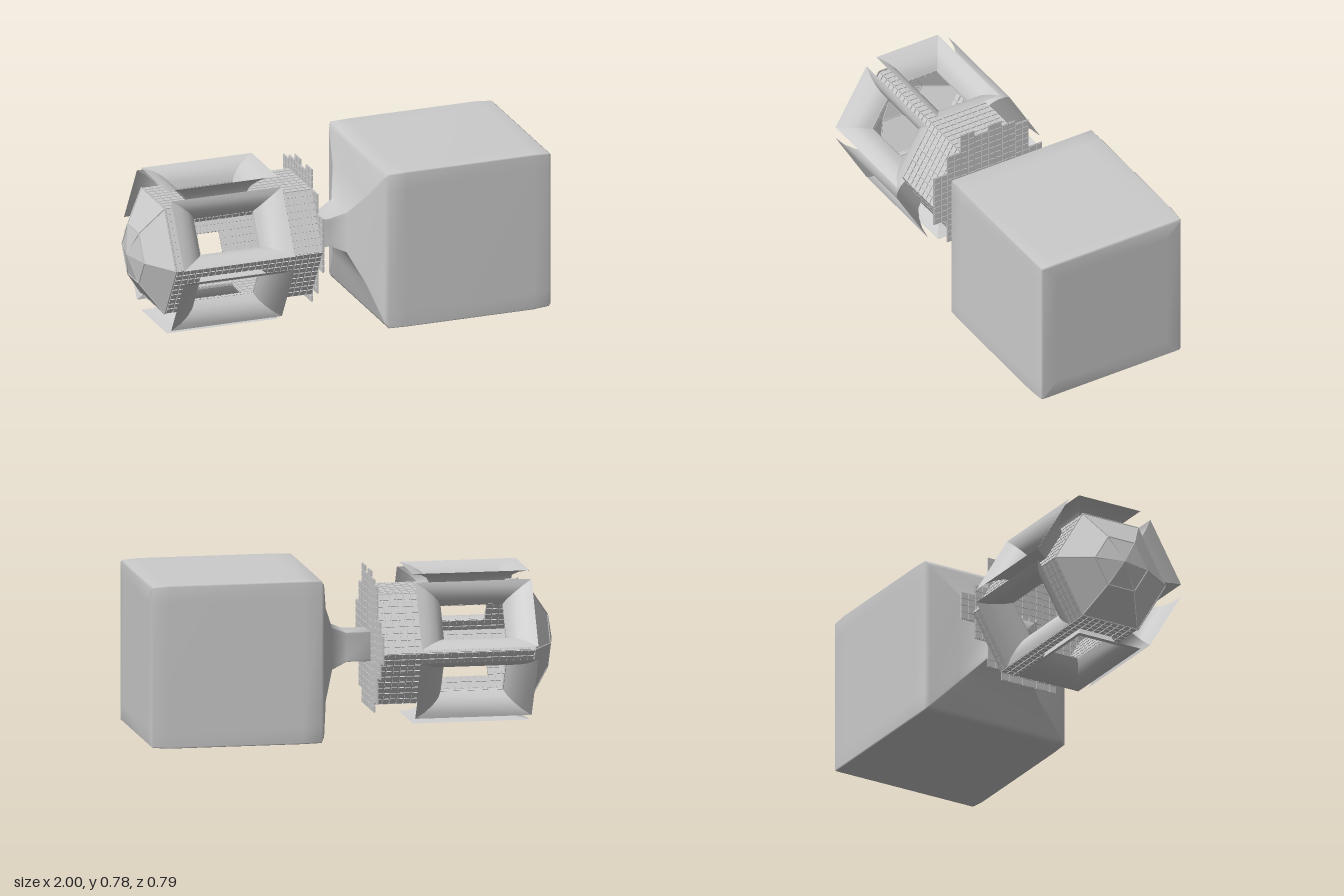
import * as THREE from 'three';
import { mergeGeometries } from 'three/addons/utils/BufferGeometryUtils.js';

const AXIS_Y = 0.4, APOTHEM = 0.265, RADIUS = APOTHEM / Math.cos(Math.PI / 6);
const X0 = -0.86, X1 = -0.12, CELL = 0.034;
const WINDOW = { x0: -0.73, x1: -0.43, half: 0.087 };

const material = (options = {}) => new THREE.MeshStandardMaterial({ color: 0xcccccc, ...options });
const solid = material();
const thin = material({ side: THREE.DoubleSide });
const faceted = material({ side: THREE.DoubleSide, flatShading: true });

function addMesh(parent, name, geometry, mat) {
  const mesh = new THREE.Mesh(geometry, mat);
  mesh.name = name;
  parent.add(mesh);
  return mesh;
}

// Joins scaled copies of a ring of [y, z] points, one per [x, size, centreY]
function loft(ring, sections) {
  const pos = [], index = [], n = ring.length;
  for (const [x, s, cy] of sections)
    for (const [y, z] of ring) pos.push(x, cy + y * s, z * s);
  for (let i = 0; i < sections.length - 1; i++)
    for (let j = 0; j < n; j++) {
      const a = i * n + j, b = i * n + (j + 1) % n;
      index.push(a, b, a + n, b, b + n, a + n);
    }
  const g = new THREE.BufferGeometry();
  g.setAttribute('position', new THREE.Float32BufferAttribute(pos, 3));
  g.setIndex(index);
  g.computeVertexNormals();
  return g;
}

// Square ring with support points by the corners, for soft edges
function squareRing() {
  const ring = [];
  for (let side = 0; side < 4; side++)
    for (const u of [-0.985, -0.78, 0.78, 0.985]) {
      let p = [1, u];
      for (let k = 0; k < side; k++) p = [-p[1], p[0]];
      ring.push(p);
    }
  return ring;
}

const hexRing = Array.from({ length: 6 }, (_, k) => {
  const a = Math.PI / 6 + k * Math.PI / 3;
  return [Math.cos(a), Math.sin(a)];
});

const box = (w, h, d, x, y, z) => new THREE.BoxGeometry(w, h, d).translate(x, y, z);

const rib = (a, b) => new THREE.TubeGeometry(new THREE.LineCurve3(a, b), 1, 0.004, 4);

// Wall of one hexagon side with a window, normal along +y
function wallPanel() {
  const w = RADIUS / 2, s = new THREE.Shape();
  s.moveTo(X0, -w).lineTo(X1, -w).lineTo(X1, w).lineTo(X0, w).closePath();
  const { x0, x1, half } = WINDOW, hole = new THREE.Path();
  hole.moveTo(x0, -half).lineTo(x0, half).lineTo(x1, half).lineTo(x1, -half).closePath();
  s.holes.push(hole);
  return new THREE.ExtrudeGeometry(s, { depth: 0.006, bevelEnabled: false })
    .rotateX(-Math.PI / 2).translate(0, APOTHEM - 0.011, 0);
}

// Small square tiles that stand out on both faces of the wall
function wallTiles() {
  const tiles = [], cols = 9, rows = 22;
  const dz = RADIUS / cols, dx = (X1 - X0) / rows;
  for (let i = 0; i < rows; i++)
    for (let j = 0; j < cols; j++) {
      const x = X0 + (i + 0.5) * dx, z = (j - (cols - 1) / 2) * dz;
      const inWindow = x > WINDOW.x0 - 0.012 && x < WINDOW.x1 + 0.012 && Math.abs(z) < WINDOW.half;
      if (!inWindow) tiles.push(box(dx * 0.82, 0.016, dz * 0.82, x, APOTHEM - 0.008, z));
    }
  return mergeGeometries(tiles);
}

// Flared frame: four curved strips from the outer rectangle to the window
function windowFrame() {
  const profile = [[0, 0.358], [0.35, 0.347], [0.65, 0.325], [0.87, 0.298], [1, 0.262]];
  const corners = [[-1, -1], [-1, 1], [1, 1], [1, -1]];
  const lerp = THREE.MathUtils.lerp, cx = -0.58;
  const strips = corners.map((c, k) => {
    const next = corners[(k + 1) % 4], pos = [], index = [];
    profile.forEach(([t, d], i) => {
      for (const [sx, sz] of [c, next])
        pos.push(cx + sx * lerp(0.28, 0.15, t), d, sz * lerp(0.17, WINDOW.half, t));
      if (i) index.push(2 * i - 2, 2 * i - 1, 2 * i, 2 * i - 1, 2 * i + 1, 2 * i);
    });
    const g = new THREE.BufferGeometry();
    g.setAttribute('position', new THREE.Float32BufferAttribute(pos, 3));
    g.setIndex(index);
    g.computeVertexNormals();
    return g;
  });
  return mergeGeometries(strips);
}

// End wall of tiled upright strips that overshoot the hexagon in steps
function endWall() {
  const parts = [], width = 0.075;
  for (let c = 0; c < 9; c++) {
    const z = -0.37 + (c + 0.5) * width;
    const h = THREE.MathUtils.clamp((RADIUS - Math.abs(z)) * Math.sqrt(3), 0, APOTHEM);
    const bottom = -h - 0.04, top = h + (c % 2 ? 0.07 : 0.1);
    parts.push(box(0.004, top - bottom, width, X1, (top + bottom) / 2, z));
    const rows = Math.round((top - bottom) / CELL), dy = (top - bottom) / rows;
    for (let r = 0; r < rows; r++)
      for (const side of [-1, 1])
        parts.push(box(0.01, dy * 0.82, width * 0.41, X1, bottom + (r + 0.5) * dy, z + side * width / 4));
  }
  return mergeGeometries(parts);
}

export function createModel() {
  const model = new THREE.Group();
  model.name = 'spaceModule';

  // Large cube and the narrow neck that flares into it
  addMesh(model, 'cubeAndNeck', loft(squareRing(), [
    [-0.13, 0, 0.4], [-0.12, 0.07, 0.4], [0, 0.07, 0.4], [0.075, 0.1, 0.4],
    [0.13, 0.225, 0.395], [0.165, 0.365, 0.39], [0.18, 0.388, 0.39], [0.27, 0.39, 0.39],
    [0.91, 0.39, 0.39], [0.99, 0.385, 0.39], [1, 0.378, 0.39], [1, 0.3, 0.39], [1, 0, 0.39],
  ]), solid);

  // Hexagonal cabin
  const cabin = new THREE.Group();
  cabin.name = 'hexagonalCabin';
  cabin.position.y = AXIS_Y;
  model.add(cabin);

  const panel = wallPanel(), tiles = wallTiles(), frame = windowFrame();
  for (let k = 0; k < 6; k++) {
    const side = new THREE.Group();
    side.name = `cabinSide${k + 1}`;
    side.rotation.x = k * Math.PI / 3;
    addMesh(side, 'wallPanel', panel, solid);
    addMesh(side, 'wallTiles', tiles, solid);
    addMesh(side, 'windowFrame', frame, thin);
    cabin.add(side);
  }
  addMesh(cabin, 'endWall', endWall(), solid);

  // Faceted nose with ribs along its edges
  const nose = [[-1, 0, 0], [-0.965, 0.145, 0], [-0.865, RADIUS, 0], [X0, RADIUS, 0]];
  addMesh(cabin, 'nose', loft(hexRing, nose), faceted);
  const point = (s, k) => {
    const [y, z] = hexRing[k % 6], [x, r] = nose[s];
    return new THREE.Vector3(x, y * r, z * r);
  };
  const ribs = [];
  for (let k = 0; k < 6; k++) {
    ribs.push(rib(point(0, k).setX(-0.996), point(1, k)), rib(point(1, k), point(2, k)));
    ribs.push(rib(point(1, k), point(1, k + 1)), rib(point(2, k), point(2, k + 1)));
  }
  addMesh(cabin, 'noseRibs', mergeGeometries(ribs), solid);

  return model;
}
